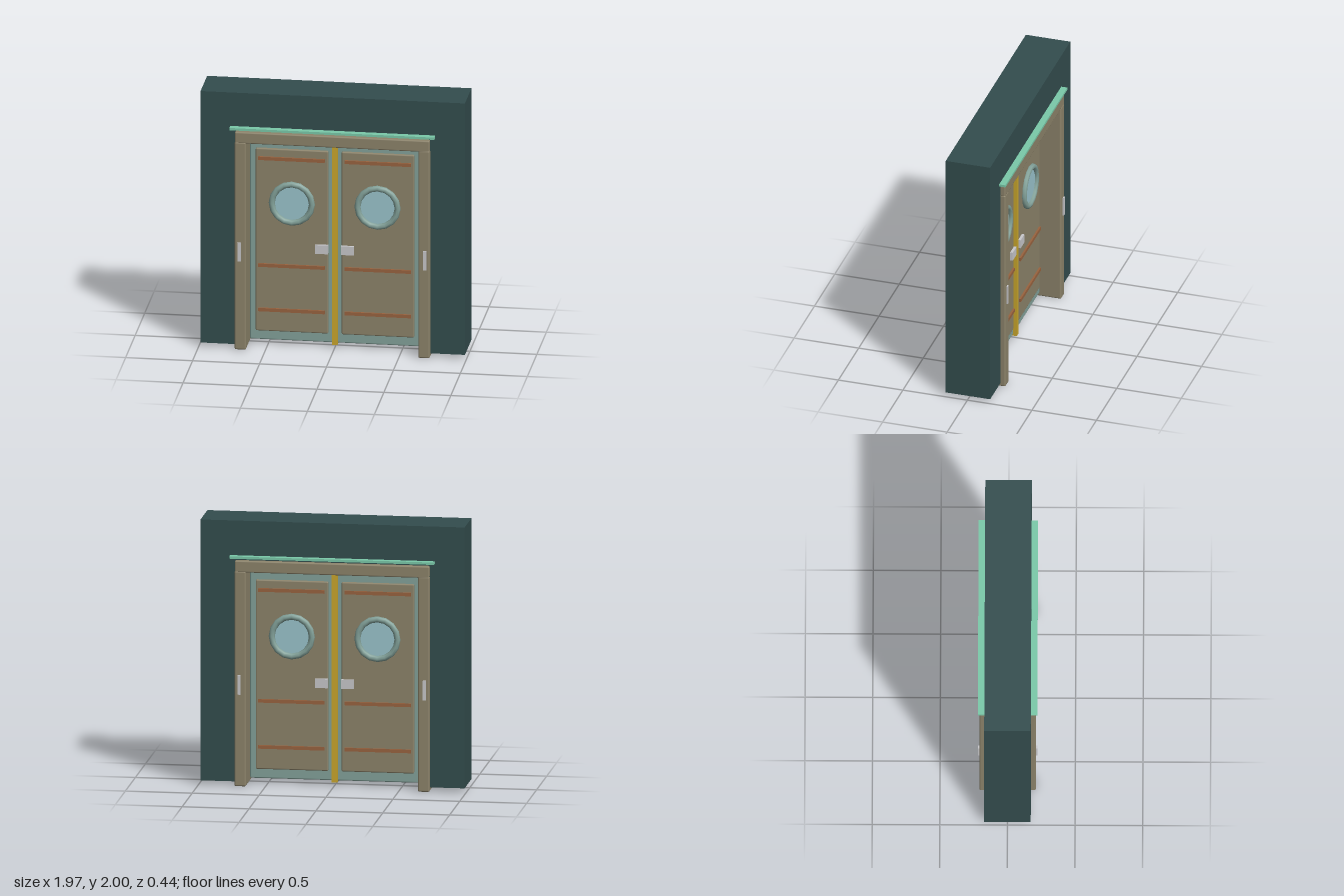
import * as THREE from 'three';
import { RoundedBoxGeometry } from 'three/addons/geometries/RoundedBoxGeometry.js';

const paint = (name, color) => {
  const m = new THREE.MeshStandardMaterial({ color });
  m.name = name;
  return m;
};

export function createModel() {
  const mats = {
    wall: paint('dark slate', 0x334d4e),
    wood: paint('tan wood', 0x8c836a),
    frame: paint('grey teal', 0x83a29a),
    glass: paint('pale glass', 0x9ac4cc),
    rust: paint('rust brown', 0x99633f),
    gold: paint('gold', 0xc9a62c),
    steel: paint('light steel', 0xc8c8cb),
    mint: paint('mint', 0x7ac9a9),
  };

  const model = new THREE.Group();
  model.name = 'doubleDoorway';

  const add = (parent, name, geometry, material, x = 0, y = 0, z = 0) => {
    const mesh = new THREE.Mesh(geometry, material);
    mesh.name = name;
    mesh.position.set(x, y, z);
    parent.add(mesh);
    return mesh;
  };

  // Box given by its limits, with an optional chamfer radius
  const box = (parent, name, material, [x0, x1], [y0, y1], [z0, z1], r = 0) => {
    const size = [x1 - x0, y1 - y0, z1 - z0];
    const geometry = r ? new RoundedBoxGeometry(...size, 2, r) : new THREE.BoxGeometry(...size);
    return add(parent, name, geometry, material, (x0 + x1) / 2, (y0 + y1) / 2, (z0 + z1) / 2);
  };

  // Wall with the door opening cut from its lower edge
  const outline = [
    [-0.987, 0.03], [-0.69, 0.03], [-0.69, 1.66], [0.69, 1.66],
    [0.69, 0.03], [0.987, 0.03], [0.987, 2], [-0.987, 2],
  ].map(([x, y]) => new THREE.Vector2(x, y));
  const wall = new THREE.ExtrudeGeometry(new THREE.Shape(outline), { depth: 0.344, bevelEnabled: false });
  add(model, 'wall', wall, mats.wall, 0, 0, -0.172);

  // Casing through the wall, and the ledge above it
  box(model, 'lintel', mats.wood, [-0.727, 0.727], [1.615, 1.703], [-0.207, 0.207], 0.01);
  box(model, 'ledge', mats.mint, [-0.765, 0.765], [1.72, 1.738], [-0.22, 0.22]);
  for (const s of [-1, 1]) {
    const x = s * 0.686;
    box(model, 'jamb', mats.wood, [x - 0.043, x + 0.043], [0, 1.625], [-0.209, 0.209], 0.012);
  }

  // Centre strip covering the seam between the leaves
  box(model, 'centreStrip', mats.gold, [-0.021, 0.021], [0.025, 1.61], [-0.075, 0.075]);

  // Door leaves
  for (const s of [-1, 1]) {
    const leaf = new THREE.Group();
    leaf.name = s > 0 ? 'leftLeaf' : 'rightLeaf';
    model.add(leaf);
    const span = (a, b) => (s > 0 ? [a, b] : [-b, -a]);

    box(leaf, 'leafFrame', mats.frame, span(0.003, 0.636), [0.033, 1.607], [-0.045, 0.045], 0.01);
    box(leaf, 'leafPanel', mats.wood, span(0.05, 0.592), [0.105, 1.535], [-0.062, 0.062], 0.01);

    for (const y of [0.275, 0.623, 1.46]) {
      box(leaf, 'crossBar', mats.rust, span(0.075, 0.57), [y - 0.013, y + 0.013], [-0.076, 0.076]);
    }

    // Porthole: a pane through the leaf and a ring on each face
    const pane = add(leaf, 'portholeGlass', new THREE.CylinderGeometry(0.14, 0.14, 0.138, 20), mats.glass, s * 0.32, 1.115);
    pane.rotation.x = Math.PI / 2;

    for (const face of [-1, 1]) {
      add(leaf, 'portholeRing', new THREE.TorusGeometry(0.15, 0.023, 8, 16), mats.frame, s * 0.32, 1.115, face * 0.07);

      // Handle plate on the leaf, and pull plate on the jamb
      const slab = (a, b) => (face > 0 ? [a, b] : [-b, -a]);
      box(leaf, 'handle', mats.steel, span(0.05, 0.145), [0.735, 0.803], slab(0.055, 0.082));
      box(model, 'jambPlate', mats.steel, span(0.681, 0.705), [0.695, 0.842], slab(0.2, 0.22));
    }
  }

  return model;
}
